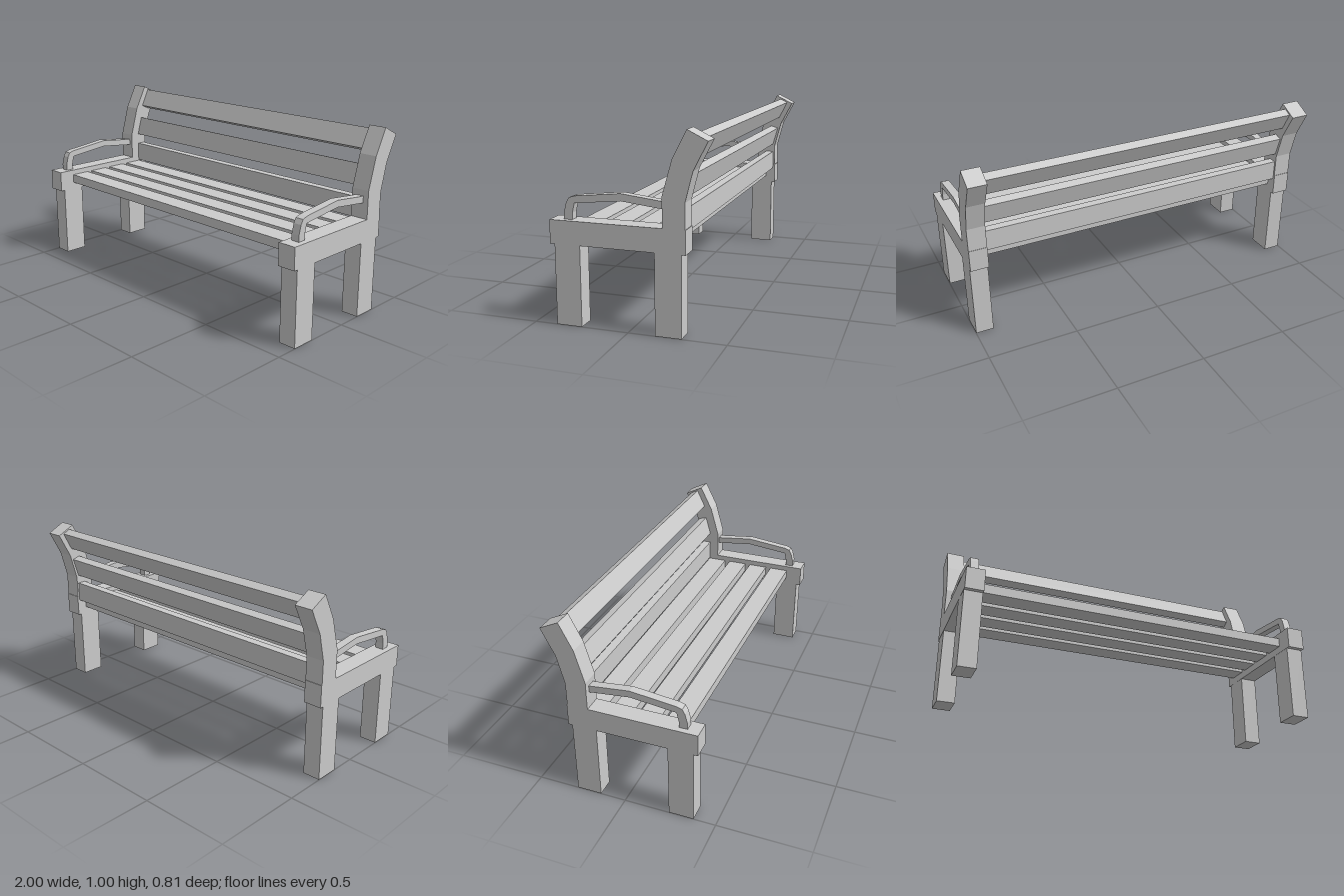
import * as THREE from 'three';

const material = new THREE.MeshStandardMaterial({ color: 0xcccccc, flatShading: true });

function addMesh(parent, name, geometry, x = 0, y = 0, z = 0) {
  const mesh = new THREE.Mesh(geometry, material);
  mesh.name = name;
  mesh.position.set(x, y, z);
  parent.add(mesh);
  return mesh;
}

// Side profile given as [z, y] points, extruded along x and centred on x = 0
function profile(points, width) {
  const shape = new THREE.Shape(points.map(([z, y]) => new THREE.Vector2(z, y)));
  const geometry = new THREE.ExtrudeGeometry(shape, { depth: width, bevelEnabled: false });
  return geometry.translate(0, 0, -width / 2).rotateY(-Math.PI / 2);
}

// Box from z and y limits
function addBlock(parent, name, width, x, [z0, z1], [y0, y1]) {
  const geometry = new THREE.BoxGeometry(width, y1 - y0, z1 - z0);
  return addMesh(parent, name, geometry, x, (y0 + y1) / 2, (z0 + z1) / 2);
}

const POST = [
  [-0.18, 0.5], [-0.18, 0.69], [-0.23, 0.865], [-0.302, 1.005],
  [-0.404, 0.955], [-0.332, 0.815], [-0.293, 0.665], [-0.293, 0.5],
];

const ARMREST = [
  [0.34, 0.53], [0.34, 0.57], [0.327, 0.62], [0.313, 0.645], [0.283, 0.655],
  [0.04, 0.682], [-0.19, 0.656], [-0.19, 0.619], [0.04, 0.645],
  [0.283, 0.619], [0.295, 0.57], [0.295, 0.53],
];

export function createModel() {
  const bench = new THREE.Group();
  bench.name = 'bench';

  // Side frames: legs, rail, bent back post and armrest
  for (const [side, s] of [['left', 1], ['right', -1]]) {
    const frame = new THREE.Group();
    frame.name = side + 'Frame';
    frame.position.x = s * 0.95;
    bench.add(frame);
    addBlock(frame, 'frontLeg', 0.098, 0, [0.246, 0.381], [0, 0.415]);
    addBlock(frame, 'backLeg', 0.098, 0, [-0.275, -0.14], [0, 0.415]);
    addBlock(frame, 'seatRail', 0.1, 0, [-0.296, 0.405], [0.415, 0.536]);
    addMesh(frame, 'backPost', profile(POST, 0.1));
    addMesh(frame, 'armrest', profile(ARMREST, 0.045), s * -0.003);
  }

  // Seat slats
  for (let i = 0; i < 4; i++) {
    const front = 0.31 - i * 0.145;
    addBlock(bench, 'seatSlat', 1.81, 0, [front - 0.112, front], [0.455, 0.506]);
  }

  // Backrest slats, each leaning with its part of the posts: front bottom corner and tilt
  const thickness = 0.048, height = 0.114;
  for (const [z, y, tilt] of [[-0.235, 0.512, 0], [-0.235, 0.69, 0.278], [-0.278, 0.88, 0.46]]) {
    const slat = addMesh(bench, 'backSlat',
      new THREE.BoxGeometry(1.81, height, thickness).translate(0, height / 2, -thickness / 2), 0, y, z);
    slat.rotation.x = -tilt;
  }

  return bench;
}
